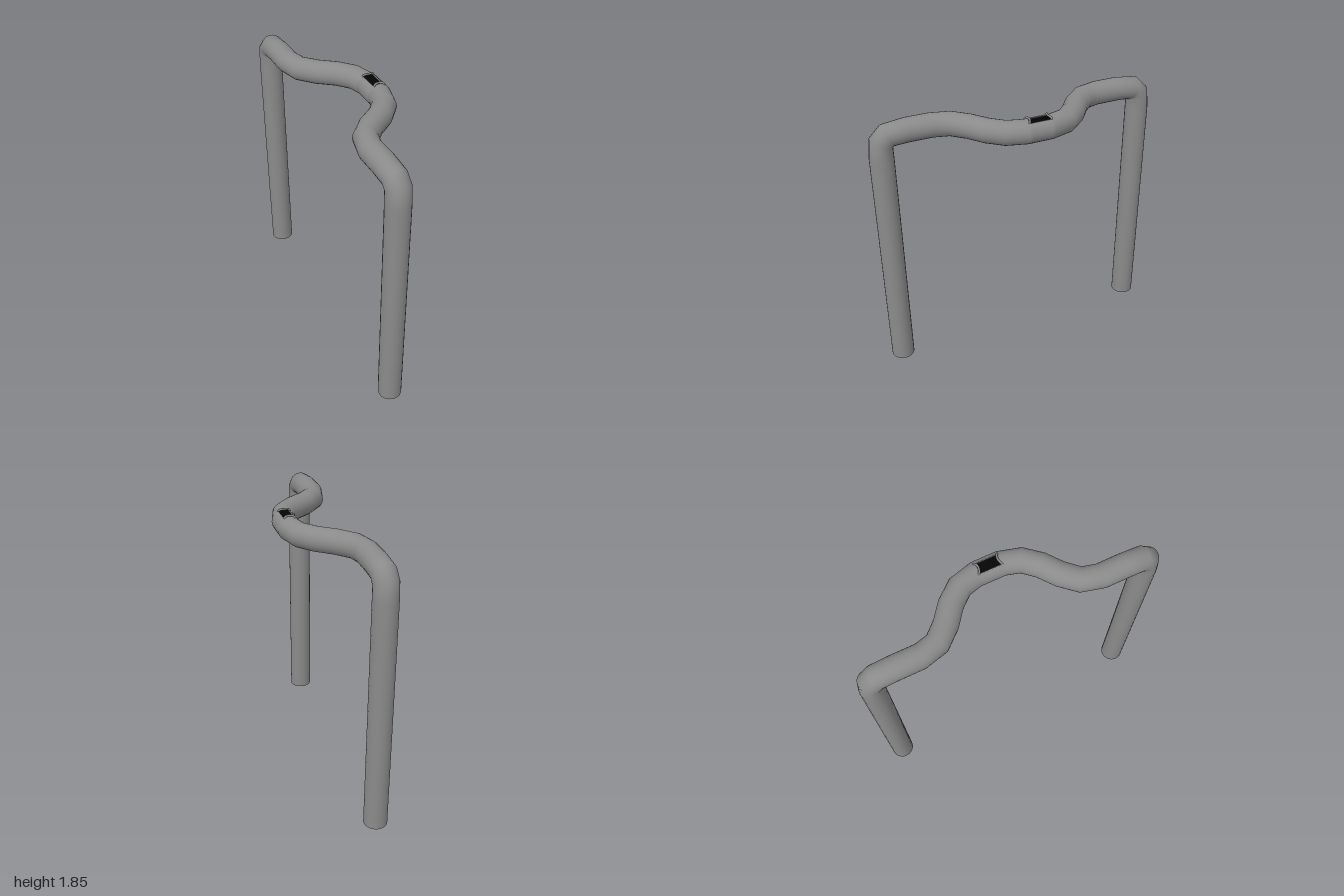
import * as THREE from 'three';

const R = 0.079, SIDES = 24;
const LEG_X = -0.168, LEG_Z = 0.921, BAR_Y = 1.759, BEND_X = 0.165;

// Half of the pipe, from the +z foot to the middle: x, y, z, pitch, yaw (degrees)
const HALF = [
  [LEG_X, 0, LEG_Z, 0, 0],
  [LEG_X, 1.6, LEG_Z, 0, 0],
  [LEG_X, 1.705, 0.914, 27, 0],
  [LEG_X, 1.747, 0.872, 65, 0],
  [LEG_X, BAR_Y, 0.75, 90, 0],
  [LEG_X, BAR_Y, 0.59, 90, 0],
  [-0.137, BAR_Y, 0.47, 90, 29],
  [-0.05, BAR_Y, 0.375, 90, 46],
  [0.052, BAR_Y, 0.297, 90, 48],
  [0.132, BAR_Y, 0.204, 90, 29],
  [BEND_X, BAR_Y, 0.085, 90, 0],
  [BEND_X, BAR_Y, 0.07, 90, 0],
];

// One circular cross-section; mirror = -1 gives its twin on the -z side
function ring([x, y, z, pitch, yaw], mirror) {
  const p = THREE.MathUtils.degToRad(pitch), w = THREE.MathUtils.degToRad(yaw);
  const points = [];
  for (let j = 0; j < SIDES; j++) {
    const a = (j / SIDES) * Math.PI * 2;
    const u = R * Math.cos(a), v = R * Math.sin(a);
    points.push(
      x + u * Math.cos(w),
      y + v * Math.sin(p),
      mirror * (z + u * Math.sin(w) + v * Math.cos(p)));
  }
  return points;
}

// Sweep the sections into a pipe, leaving a slot open on top of the middle
function pipeGeometry() {
  const rings = [
    ...HALF.map(s => ring(s, 1)),
    ...[...HALF].reverse().map(s => ring(s, -1)),
  ];
  const index = [];
  for (let i = 0; i < rings.length - 1; i++) {
    for (let j = 0; j < SIDES; j++) {
      if (i === HALF.length - 1 && j >= 4 && j < 8) continue;
      const k = (j + 1) % SIDES;
      const a = i * SIDES + j, b = i * SIDES + k;
      index.push(a, a + SIDES, b, b, a + SIDES, b + SIDES);
    }
  }
  const geometry = new THREE.BufferGeometry();
  geometry.setAttribute('position', new THREE.Float32BufferAttribute(rings.flat(), 3));
  geometry.setIndex(index);
  geometry.computeVertexNormals();
  return geometry;
}

export function createModel() {
  const group = new THREE.Group();
  const steel = new THREE.MeshStandardMaterial({ color: 0x8a8a8a });
  const dark = new THREE.MeshStandardMaterial({ color: 0x050505, side: THREE.BackSide });
  const add = (name, geometry, material = steel) => {
    const mesh = new THREE.Mesh(geometry, material);
    mesh.name = name;
    group.add(mesh);
    return mesh;
  };

  // Bent pipe and its dark bore, visible through the slot
  const pipe = pipeGeometry();
  add('bentPipe', pipe);
  add('pipeBore', pipe, dark);

  for (const side of [1, -1]) {
    const end = side > 0 ? 'front' : 'back';

    // Closed foot of each leg
    const foot = add(end + 'FootCap', new THREE.CircleGeometry(R, SIDES));
    foot.rotation.x = Math.PI / 2;
    foot.position.set(LEG_X, 0, side * LEG_Z);

    // Raised lip bowed across each end of the slot
    const lip = new THREE.CatmullRomCurve3(
      [[-0.039, 1.827, 0.078], [-0.024, 1.84, 0.068], [0, 1.842, 0.063],
        [0.024, 1.84, 0.068], [0.039, 1.827, 0.078]]
        .map(([x, y, z]) => new THREE.Vector3(BEND_X + x, y, side * z)));
    add(end + 'SlotLip', new THREE.TubeGeometry(lip, 16, 0.007, 8));

    // Thin rim along each long edge of the slot
    const rim = add((side > 0 ? 'left' : 'right') + 'SlotRim',
      new THREE.CylinderGeometry(0.005, 0.005, 0.16, 8));
    rim.rotation.x = Math.PI / 2;
    rim.position.set(BEND_X + side * 0.037, 1.824, 0);
  }
  return group;
}
